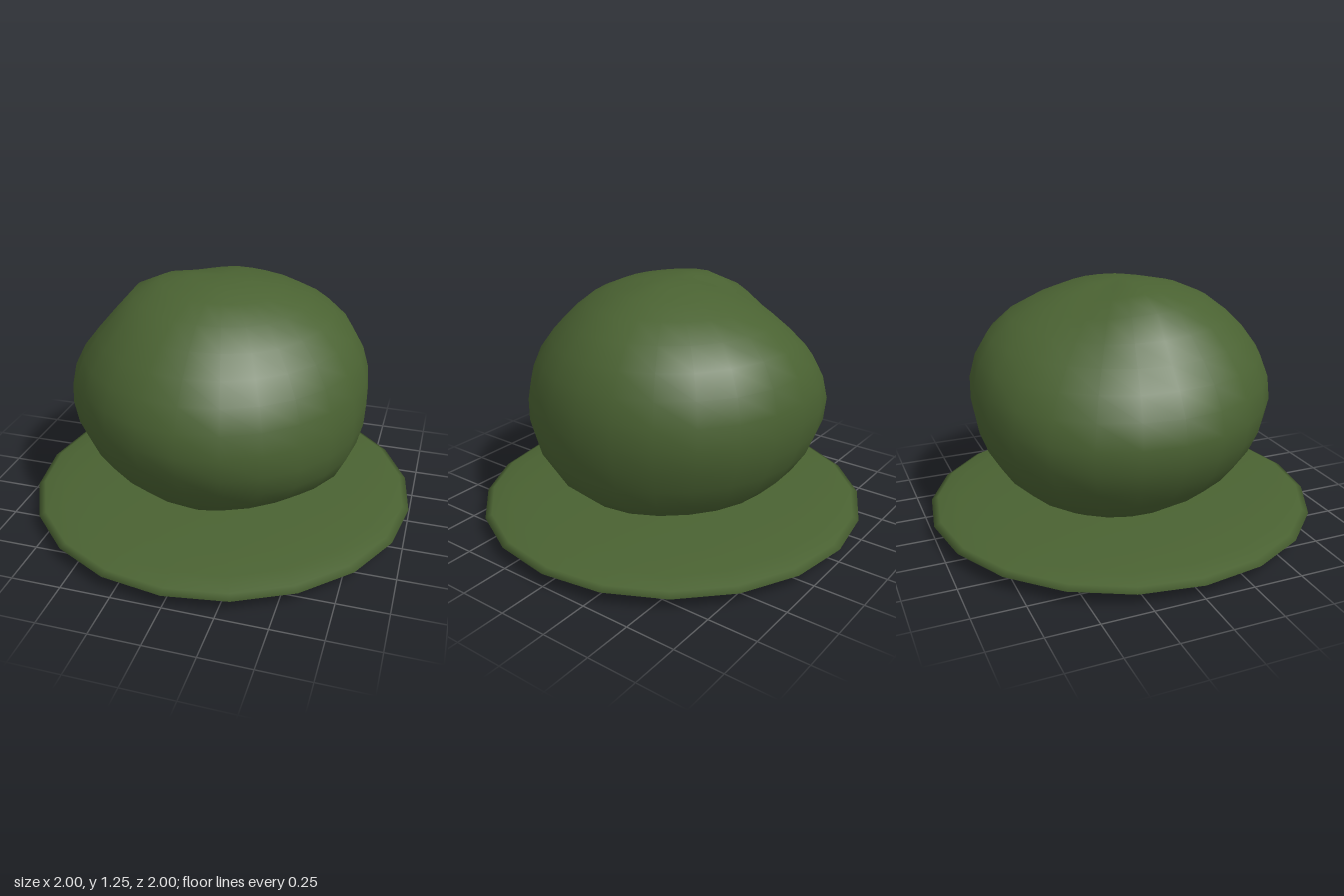
import * as THREE from 'three';
import { mergeVertices } from 'three/addons/utils/BufferGeometryUtils.js';

// Relative radius of the foliage: rows by latitude, columns every 45 degrees from +z towards +x
const LATS = [-90, -60, -40, -20, 0, 20, 40, 60, 90];
const LUMPS = [
  [0.99, 0.99, 0.99, 0.99, 0.99, 0.99, 0.99, 0.99],
  [0.995, 0.95, 0.955, 0.98, 1.0, 1.01, 0.996, 0.97],
  [0.975, 0.98, 1.03, 1.0, 1.0, 1.03, 0.994, 0.97],
  [0.98, 0.985, 0.985, 0.97, 0.985, 1.045, 1.01, 0.97],
  [1.01, 0.955, 0.96, 0.99, 0.99, 1.04, 1.026, 0.985],
  [1.0, 0.945, 0.98, 1.005, 1.02, 0.985, 0.985, 0.99],
  [0.985, 0.95, 1.005, 1.02, 1.03, 0.94, 0.96, 1.0],
  [1.01, 0.985, 1.01, 1.0, 0.997, 0.97, 1.045, 1.03],
  [1.0, 1.0, 1.0, 1.0, 1.0, 1.0, 1.0, 1.0],
];

function cubic(a, b, c, d, t) {
  return b + 0.5 * t * (c - a + t * (2 * a - 5 * b + 4 * c - d + t * (3 * (b - c) + d - a)));
}

function rowValue(row, lon) {
  const u = lon / 45;
  const i = Math.floor(u);
  const at = (k) => row[(k + 16) % 8];
  return cubic(at(i - 1), at(i), at(i + 1), at(i + 2), u - i);
}

function lump(lat, lon) {
  let i = 0;
  while (i < LATS.length - 2 && lat > LATS[i + 1]) i++;
  const t = (lat - LATS[i]) / (LATS[i + 1] - LATS[i]);
  const at = (k) => rowValue(LUMPS[Math.min(Math.max(k, 0), LATS.length - 1)], lon);
  return cubic(at(i - 1), at(i), at(i + 1), at(i + 2), t);
}

// Sphere with a welded seam, so that its smooth normals are unbroken
function weldedSphere(columns, rows) {
  const geometry = new THREE.SphereGeometry(1, columns, rows);
  geometry.deleteAttribute('uv');
  geometry.deleteAttribute('normal');
  return mergeVertices(geometry, 1e-4);
}

export function createModel() {
  const model = new THREE.Group();
  model.name = 'bush';
  const leafGreen = new THREE.MeshStandardMaterial({ color: 0x4a6232 });
  leafGreen.name = 'leafGreen';

  // Thin lens-shaped skirt on the ground
  const baseGeometry = weldedSphere(20, 12);
  baseGeometry.scale(1, 0.068, 1);
  baseGeometry.computeVertexNormals();
  const base = new THREE.Mesh(baseGeometry, leafGreen);
  base.name = 'groundSkirt';
  base.position.y = 0.07;
  model.add(base);

  // Lumpy foliage: a squashed sphere with its radius varied by direction
  const foliageGeometry = weldedSphere(24, 16);
  const p = foliageGeometry.attributes.position;
  const v = new THREE.Vector3();
  const degrees = THREE.MathUtils.radToDeg;
  for (let i = 0; i < p.count; i++) {
    v.fromBufferAttribute(p, i).normalize();
    const lat = degrees(Math.asin(v.y));
    const lon = (degrees(Math.atan2(v.x, v.z)) + 360) % 360;
    v.multiplyScalar(lump(lat, lon));
    p.setXYZ(i, v.x * 0.77, v.y * 0.6, v.z * 0.77);
  }
  foliageGeometry.computeVertexNormals();
  const foliage = new THREE.Mesh(foliageGeometry, leafGreen);
  foliage.name = 'foliage';
  foliage.position.y = 0.65;
  model.add(foliage);

  return model;
}
